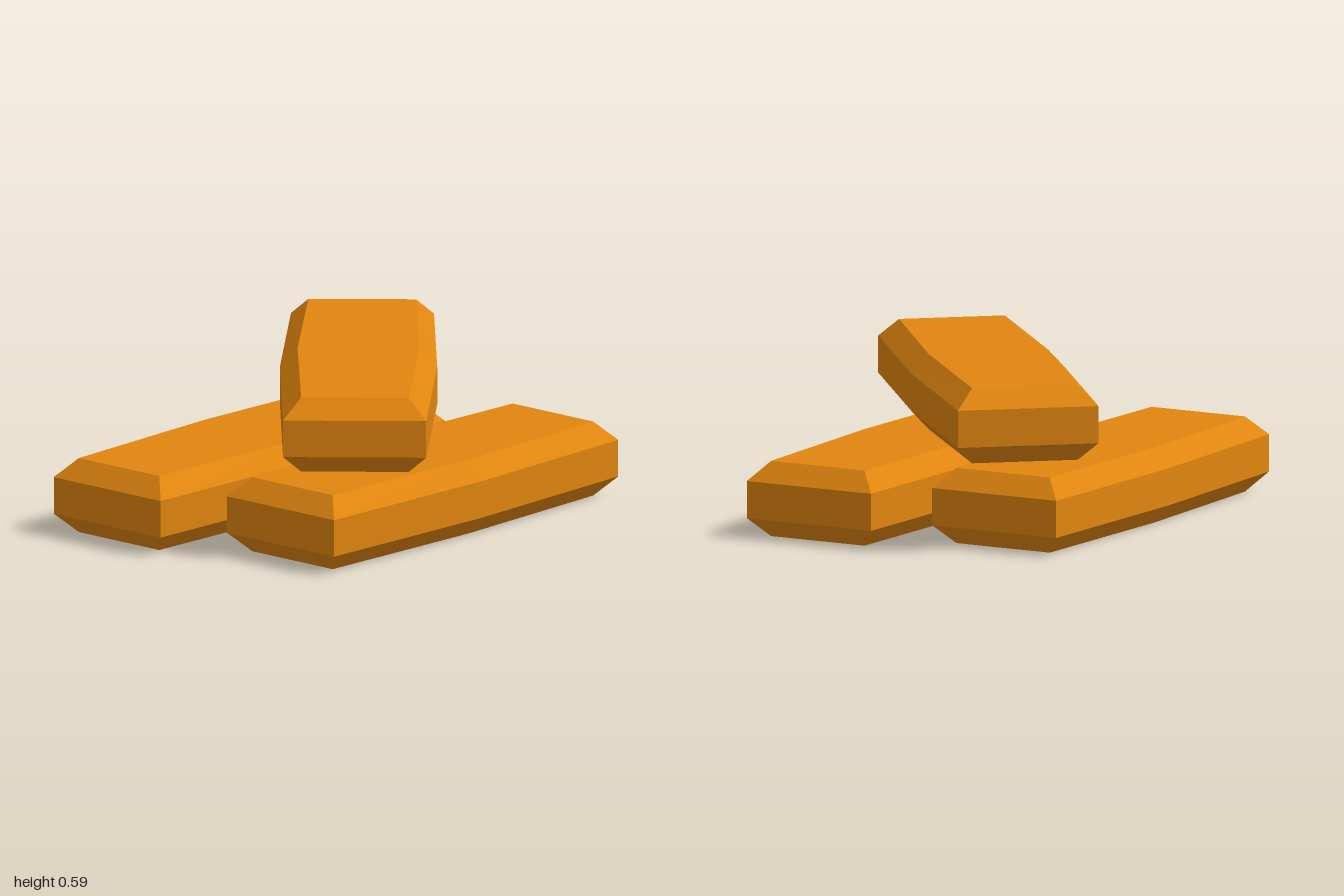
import * as THREE from 'three';

const LENGTH = 1.493, WIDTH = 0.5, HEIGHT = 0.267;
const BEVEL = 0.062; // inset of the top and bottom faces
const BAND = 0.066; // half height of the upright side band
const BULGE = 0.025; // extra half width at mid length

// Chamfered plank that is slightly wider in the middle
function plankGeometry() {
  const geometry = new THREE.BoxGeometry(WIDTH, HEIGHT, LENGTH, 1, 3, 2);
  const p = geometry.attributes.position;
  for (let i = 0; i < p.count; i++) {
    let x = p.getX(i), y = p.getY(i), z = p.getZ(i);
    const sx = Math.sign(x), sy = Math.sign(y);
    const isMiddle = Math.abs(z) < 0.01;
    if (isMiddle) x += sx * BULGE;
    if (Math.abs(y) > HEIGHT * 0.4) {
      x -= sx * BEVEL;
      if (!isMiddle) z -= Math.sign(z) * BEVEL;
    } else {
      y = sy * BAND;
    }
    p.setXYZ(i, x, y, z);
  }
  const flat = geometry.toNonIndexed();
  flat.computeVertexNormals();
  return flat;
}

export function createModel() {
  const group = new THREE.Group();
  group.name = 'plankPile';

  const wood = new THREE.MeshStandardMaterial({ color: 0xe0850f, flatShading: true });
  wood.name = 'orangeWood';
  const geometry = plankGeometry();

  // name, x, base height, z, turn
  const planks = [
    ['lowerRightPlank', -0.295, 0, -0.152, -0.783],
    ['lowerLeftPlank', 0.295, 0, 0.147, -0.783],
    ['upperPlank', 0.081, 0.319, -0.04, -0.074],
  ];
  for (const [name, x, base, z, turn] of planks) {
    const plank = new THREE.Mesh(geometry, wood);
    plank.name = name;
    plank.position.set(x, base + HEIGHT / 2, z);
    plank.rotation.y = turn;
    group.add(plank);
  }
  return group;
}
